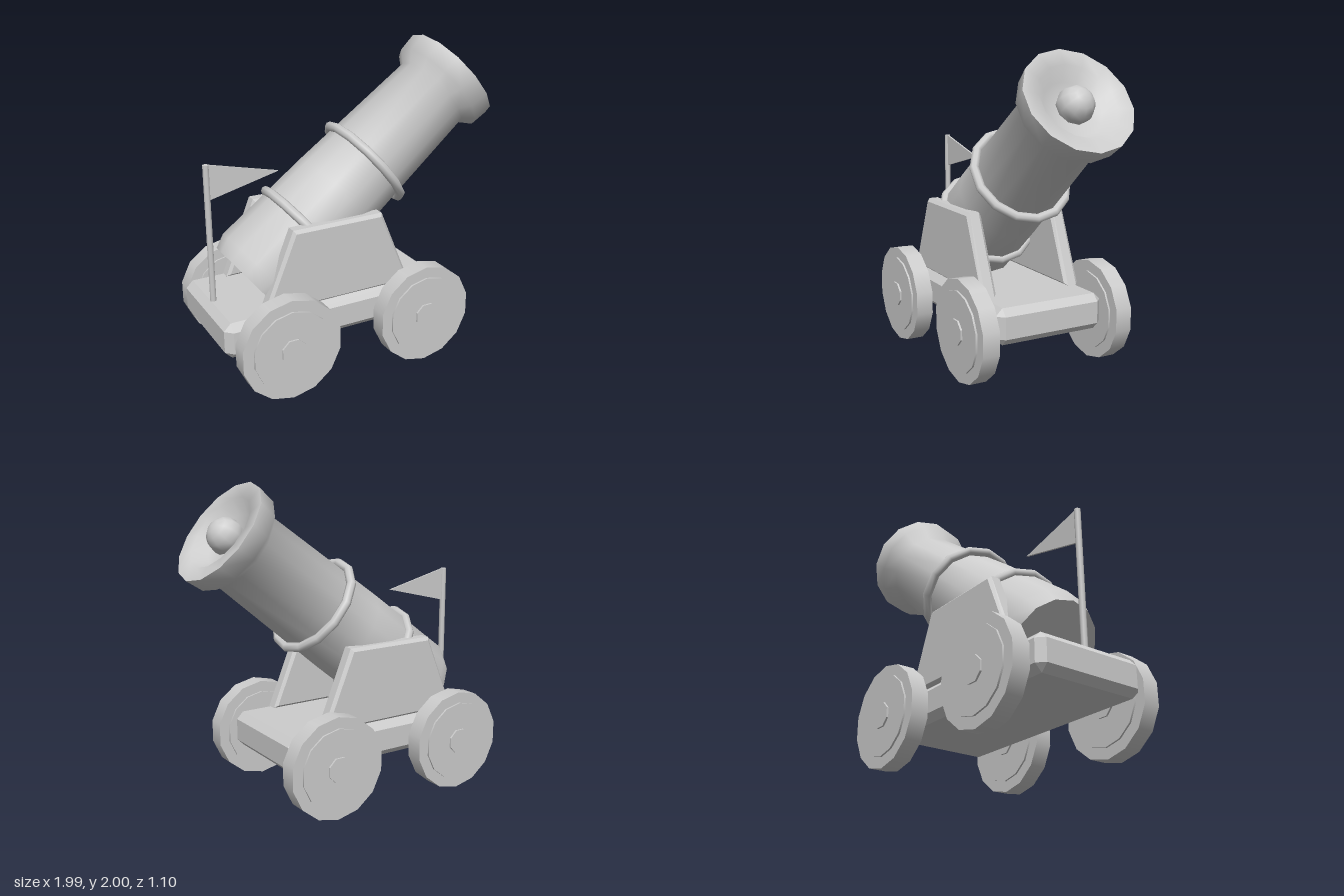
import * as THREE from 'three';
import { toCreasedNormals } from 'three/addons/utils/BufferGeometryUtils.js';
import { ConvexGeometry } from 'three/addons/geometries/ConvexGeometry.js';

const SIDES = 14;

// Box with every edge and corner chamfered
function chamferedBox(w, h, d, c) {
  const points = [];
  for (const x of [-1, 1]) for (const y of [-1, 1]) for (const z of [-1, 1]) {
    for (const [a, b, e] of [[0, c, c], [c, 0, c], [c, c, 0]]) {
      points.push(new THREE.Vector3(x * (w / 2 - a), y * (h / 2 - b), z * (d / 2 - e)));
    }
  }
  return new ConvexGeometry(points);
}

const polygon = (points) => new THREE.Shape(points.map(([x, y]) => new THREE.Vector2(x, y)));

export function createModel() {
  const model = new THREE.Group();
  model.name = 'cannon';
  const grey = new THREE.MeshStandardMaterial({ color: 0xcccccc });
  grey.name = 'plain grey';

  const add = (parent, name, geometry, x = 0, y = 0, z = 0) => {
    const mesh = new THREE.Mesh(geometry, grey);
    mesh.name = name;
    mesh.position.set(x, y, z);
    parent.add(mesh);
    return mesh;
  };

  // Carriage bed
  add(model, 'carriageBed', chamferedBox(1.52, 0.23, 0.745, 0.045), -0.24, 0.375, 0);

  // Side cheeks holding the barrel
  const bevel = 0.02;
  const cheekShape = polygon([[-0.72, 0.51], [0.25, 0.51], [0.055, 0.975], [-0.525, 0.975]]);
  const cheek = new THREE.ExtrudeGeometry(cheekShape, {
    depth: 0.1 - 2 * bevel, bevelEnabled: true, bevelSize: bevel, bevelThickness: bevel, bevelSegments: 1,
  });
  cheek.translate(0, 0, -(0.05 - bevel));
  for (const side of [-1, 1]) {
    add(model, side > 0 ? 'frontCheek' : 'backCheek', cheek, 0, 0, side * 0.3);
  }

  // Wheels: tyre, raised disc and octagonal hub
  const tyre = new THREE.CylinderGeometry(0.325, 0.325, 0.112, SIDES).rotateX(Math.PI / 2);
  const disc = new THREE.CylinderGeometry(0.255, 0.255, 0.136, SIDES).rotateX(Math.PI / 2);
  const hub = toCreasedNormals(
    new THREE.CylinderGeometry(0.082, 0.082, 0.16, 8).rotateY(Math.PI / 8).rotateX(Math.PI / 2), 0.5);
  for (const x of [-0.648, 0.287]) for (const side of [-1, 1]) {
    const wheel = new THREE.Group();
    wheel.name = 'wheel';
    wheel.position.set(x, 0.325, side * 0.47);
    add(wheel, 'tyre', tyre);
    add(wheel, 'wheelDisc', disc);
    add(wheel, 'hub', hub);
    model.add(wheel);
  }

  // Barrel assembly: origin at the muzzle centre, local y along the bore
  const barrel = new THREE.Group();
  barrel.name = 'barrelAssembly';
  barrel.position.set(0.775, 1.725, 0);
  barrel.rotation.z = -THREE.MathUtils.degToRad(52);
  model.add(barrel);

  const profile = [
    [0, -1.866], [0.284, -1.866], [0.318, -1.777], [0.305, -1.1], [0.267, -0.18],
    [0.338, -0.122], [0.35, 0], [0.25, -0.01], [0.185, -0.09], [0, -0.09],
  ].map(([r, y]) => new THREE.Vector2(r, y));
  const barrelGeometry = new THREE.LatheGeometry(profile, SIDES).rotateY(Math.PI / 2);
  add(barrel, 'barrel', toCreasedNormals(barrelGeometry, 1.2));

  // Reinforcing rings
  const ring = (radius) => new THREE.TorusGeometry(radius, 0.03, 8, SIDES).rotateX(Math.PI / 2);
  add(barrel, 'frontRing', ring(0.317), 0, -0.816, 0);
  add(barrel, 'rearRing', ring(0.318), 0, -1.397, 0);

  // Ball resting in the muzzle
  add(barrel, 'cannonball', new THREE.SphereGeometry(0.114, 10, 8), 0, -0.055, 0);

  // Flagpole and pennant
  add(model, 'flagpole', new THREE.CylinderGeometry(0.02, 0.02, 0.9, 8), -0.938, 0.92, 0);
  const pennant = new THREE.ExtrudeGeometry(
    polygon([[-0.925, 1.15], [-0.475, 1.262], [-0.925, 1.37]]), { depth: 0.012, bevelEnabled: false });
  add(model, 'pennant', pennant, 0, 0, -0.006);

  return model;
}
